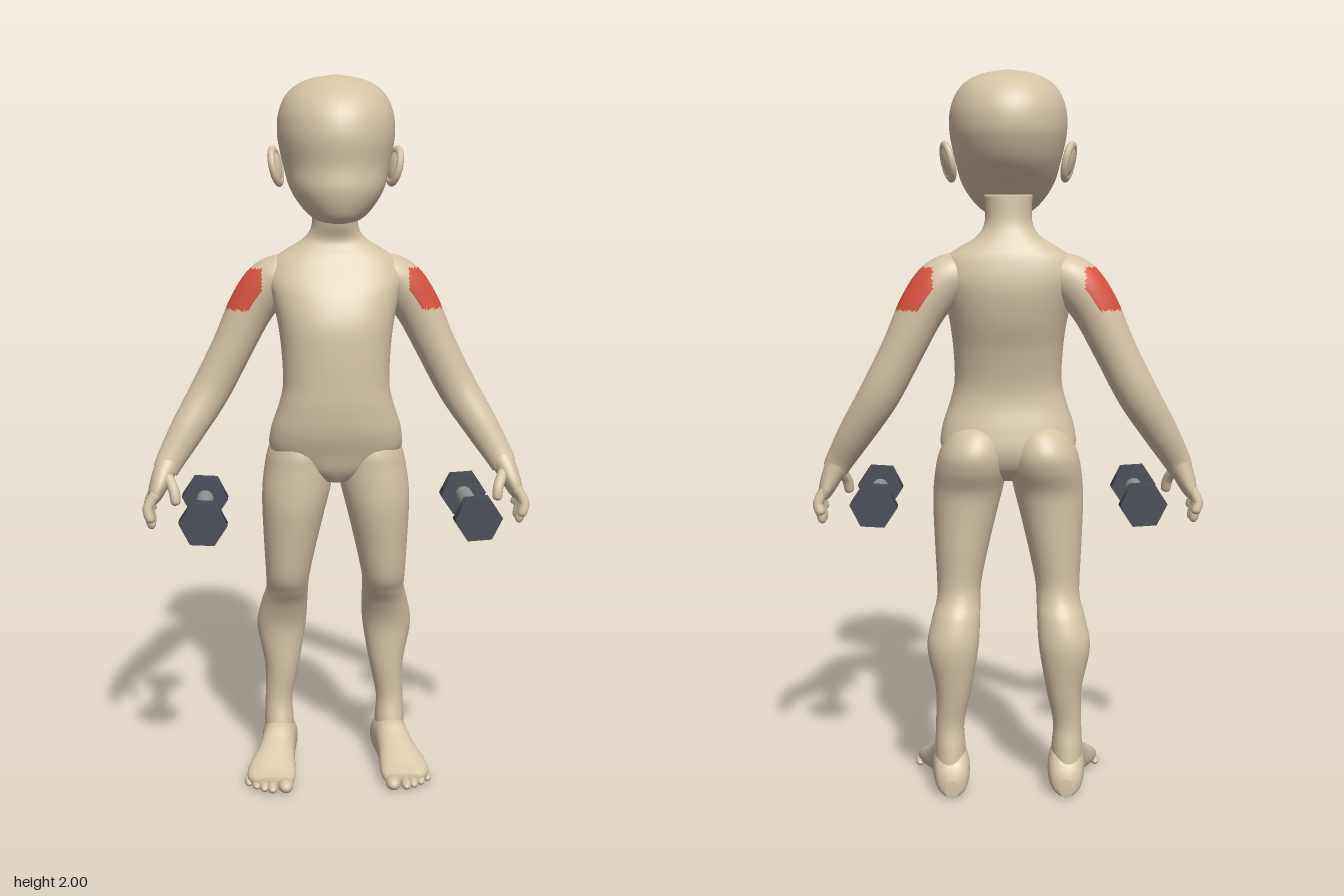
import * as THREE from 'three';

const V = (x, y, z) => new THREE.Vector3(x, y, z);
const mat = (name, color) => Object.assign(new THREE.MeshStandardMaterial({ color }), { name });

// Catmull-Rom through rows of numbers
function smooth(rows, steps) {
  const out = [], at = i => rows[Math.min(rows.length - 1, Math.max(0, i))];
  for (let i = 0; i < rows.length - 1; i++)
    for (let k = 0; k < steps; k++) {
      const t = k / steps;
      out.push(at(i).map((b, n) => {
        const a = at(i - 1)[n], c = at(i + 1)[n], d = at(i + 2)[n];
        return 0.5 * (2 * b + (c - a) * t + (2 * a - 5 * b + 4 * c - d) * t * t + (3 * b - a - 3 * c + d) * t ** 3);
      }));
    }
  out.push(rows[rows.length - 1]);
  return out;
}

// Closed skin over rings {c, u, v}, where u x v points along the loft; p < 1 squares the rings
function loft(rings, seg = 32, p = 1) {
  const pos = [], idx = [], n = rings.length;
  const bend = a => Math.sign(a) * Math.abs(a) ** p;
  for (const { c, u, v } of rings)
    for (let j = 0; j < seg; j++) {
      const a = (j / seg) * Math.PI * 2;
      pos.push(...c.clone().addScaledVector(u, bend(Math.cos(a))).addScaledVector(v, bend(Math.sin(a))).toArray());
    }
  pos.push(...rings[0].c.toArray(), ...rings[n - 1].c.toArray());
  for (let i = 0; i < n; i++)
    for (let j = 0; j < seg; j++) {
      const k = (j + 1) % seg, a = i * seg + j, b = i * seg + k;
      if (i === 0) idx.push(n * seg, b, a);
      if (i === n - 1) idx.push(n * seg + 1, a, b);
      else idx.push(a, b, b + seg, a, b + seg, a + seg);
    }
  const g = new THREE.BufferGeometry();
  g.setAttribute('position', new THREE.Float32BufferAttribute(pos, 3));
  g.setIndex(idx);
  g.computeVertexNormals();
  return g;
}

// Upright loft, rows [centre x, y, half width, front z, back z], bottom to top
const upright = (rows, p) => loft(smooth(rows, 6).map(([x, y, w, f, b]) => ({
  c: V(x, y, (f + b) / 2), u: V(0, 0, (f - b) / 2), v: V(w, 0, 0) })), 40, p);

// Limb loft along a path, rows [x, y, z, half thickness across, half depth in z]
function limb(rows, steps = 6, seg = 40) {
  const d = smooth(rows, steps), at = i => V(...d[Math.min(d.length - 1, Math.max(0, i))].slice(0, 3));
  return loft(d.map((r, i) => {
    const t = at(i + 1).sub(at(i - 1)).normalize();
    const v = V(0, 0, 1).addScaledVector(t, -t.z).normalize();
    return { c: at(i), u: v.clone().cross(t).multiplyScalar(r[3]), v: v.multiplyScalar(r[4]) };
  }), seg);
}

const finger = (a, b, c, r) => limb([[...a, r, r], [...b, r, r], [...c, r * 0.9, r * 0.9],
  [...c.map((e, i) => e + (e - b[i]) * 0.25), r * 0.3, r * 0.3]], 4, 12);

const ball = (x, y, z, rx, ry, rz) => new THREE.SphereGeometry(1, 24, 16).scale(rx, ry, rz).translate(x, y, z);

function mirrored(g) {
  const m = g.clone().scale(-1, 1, 1), ix = m.index.array;
  for (let i = 0; i < ix.length; i += 3) [ix[i], ix[i + 1]] = [ix[i + 1], ix[i]];
  return m;
}

// Splits faces into two material groups by a test on the face centre
function paint(g, test) {
  const P = g.attributes.position, ix = g.index.array, sets = [[], []];
  for (let i = 0; i < ix.length; i += 3) {
    const f = [ix[i], ix[i + 1], ix[i + 2]], c = V(0, 0, 0), q = V(0, 0, 0);
    f.forEach(k => c.addScaledVector(q.fromBufferAttribute(P, k), 1 / 3));
    sets[test(c) ? 1 : 0].push(...f);
  }
  g.setIndex([...sets[0], ...sets[1]]);
  g.addGroup(0, sets[0].length, 0);
  g.addGroup(sets[0].length, sets[1].length, 1);
  return g;
}

export function createModel() {
  const skin = mat('skin', 0xd6c3a5), red = mat('red patch', 0xd9533f);
  const iron = mat('dark iron', 0x4a4e57), steel = mat('grey steel', 0x8c9691);
  const model = new THREE.Group();
  model.name = 'figure';
  const add = (name, g, m = skin) => {
    const mesh = new THREE.Mesh(g, m);
    mesh.name = name;
    model.add(mesh);
  };
  const pair = (name, g, m) => {
    add('left ' + name, g, m);
    add('right ' + name, mirrored(g), m);
  };

  // Head
  add('head', upright([
    [0, 1.61, 0.02, 0.095, 0.03], [0, 1.62, 0.06, 0.13, -0.02], [0, 1.65, 0.095, 0.15, -0.08],
    [0, 1.7, 0.127, 0.162, -0.13], [0, 1.76, 0.144, 0.158, -0.183], [0, 1.82, 0.157, 0.164, -0.212],
    [0, 1.86, 0.16, 0.161, -0.218], [0, 1.9, 0.156, 0.148, -0.212], [0, 1.94, 0.14, 0.12, -0.19],
    [0, 1.97, 0.112, 0.082, -0.155], [0, 1.99, 0.068, 0.035, -0.105], [0, 2, 0.01, -0.025, -0.045]]));

  // Ears: a shallow lobe with a raised rim
  const tilt = g => g.rotateY(0.35).rotateZ(-0.18).rotateX(-0.15).translate(0.163, 1.757, -0.05);
  pair('ear', tilt(ball(0, 0, 0, 0.014, 0.045, 0.032)));
  pair('ear rim', tilt(new THREE.TorusGeometry(0.034, 0.01, 10, 28).rotateY(Math.PI / 2).scale(1, 1.3, 0.95)));

  // Torso and neck
  add('torso', upright([
    [0, 0.885, 0.04, 0.03, -0.08], [0, 0.92, 0.12, 0.052, -0.125], [0, 0.97, 0.183, 0.068, -0.145],
    [0, 1.03, 0.184, 0.087, -0.138], [0, 1.1, 0.162, 0.096, -0.122], [0, 1.16, 0.149, 0.097, -0.122],
    [0, 1.25, 0.152, 0.095, -0.142], [0, 1.33, 0.162, 0.088, -0.168], [0, 1.4, 0.178, 0.063, -0.182],
    [0, 1.45, 0.19, 0.034, -0.182], [0, 1.5, 0.172, 0.002, -0.172], [0, 1.53, 0.132, -0.012, -0.16],
    [0, 1.56, 0.085, -0.02, -0.147], [0, 1.6, 0.064, -0.006, -0.134], [0, 1.67, 0.066, 0.01, -0.13]], 0.88));

  // Legs, with the seat and calves in their profile
  pair('leg', upright([
    [0.165, 0.05, 0.044, -0.03, -0.17], [0.165, 0.13, 0.043, -0.045, -0.16], [0.165, 0.2, 0.04, -0.063, -0.15],
    [0.155, 0.3, 0.05, -0.058, -0.165], [0.156, 0.42, 0.071, -0.055, -0.18], [0.147, 0.5, 0.067, -0.027, -0.163],
    [0.14, 0.55, 0.061, 0.005, -0.137], [0.138, 0.6, 0.063, 0.032, -0.126], [0.13, 0.7, 0.076, 0.05, -0.13],
    [0.12, 0.8, 0.09, 0.064, -0.134], [0.112, 0.86, 0.097, 0.065, -0.142], [0.103, 0.92, 0.099, 0.062, -0.17],
    [0.098, 0.97, 0.092, 0.058, -0.178], [0.092, 1.02, 0.07, 0.035, -0.15], [0.09, 1.05, 0.03, 0, -0.1]]));

  // Feet, rows [z, centre x, half width, top y]
  pair('foot', loft(smooth([
    [-0.183, 0.16, 0.018, 0.05], [-0.165, 0.16, 0.042, 0.09], [-0.12, 0.162, 0.052, 0.13],
    [-0.05, 0.168, 0.05, 0.135], [0, 0.178, 0.055, 0.106], [0.05, 0.19, 0.067, 0.076],
    [0.09, 0.193, 0.068, 0.052], [0.12, 0.185, 0.05, 0.038]], 5).map(([z, x, w, h]) => ({
    c: V(x, h / 2 + 0.002, z), u: V(w, 0, 0), v: V(0, h / 2, 0) })), 32, 0.85));
  for (let i = 0; i < 5; i++) {
    const r = i ? 0.0155 - i * 0.0007 : 0.021;
    pair('toe ' + (i + 1), ball(i ? 0.17 + i * 0.022 : 0.154, r * 0.9 + 0.002, 0.134 - i * i * 0.0035, r, r * 0.9, 0.031 - i * 0.001));
  }

  // Arms with a red patch on the outer upper side
  const arm = limb([
    [0.1, 1.47, -0.088, 0.045, 0.05], [0.145, 1.455, -0.09, 0.062, 0.066], [0.19, 1.425, -0.096, 0.068, 0.068],
    [0.237, 1.36, -0.1, 0.064, 0.064], [0.288, 1.255, -0.1, 0.058, 0.059], [0.353, 1.13, -0.093, 0.056, 0.053],
    [0.418, 1.025, -0.062, 0.049, 0.046], [0.466, 0.945, -0.034, 0.04, 0.035], [0.482, 0.915, -0.025, 0.036, 0.036]], 10, 64);
  const onPatch = c => c.y > 1.363 && c.y < 1.477 && c.x > 0.205 &&
    (c.x - 0.237) * 0.82 + (c.y - 1.36) * 0.57 > 0.008;
  pair('arm', paint(arm, onPatch), [skin, red]);

  // Hands
  pair('palm', limb([
    [0.462, 0.952, -0.036, 0.034, 0.03], [0.483, 0.915, -0.024, 0.032, 0.042], [0.503, 0.87, -0.012, 0.026, 0.058],
    [0.515, 0.838, -0.01, 0.018, 0.056], [0.519, 0.825, -0.01, 0.008, 0.04]], 5, 24));
  [[0.035, 0.05, 0.79], [0.007, 0.012, 0.768], [-0.023, -0.028, 0.77], [-0.051, -0.066, 0.795]].forEach(([z0, z1, y], i) =>
    pair('finger ' + (i + 1), finger([0.508, 0.86, z0], [0.53, 0.822, (z0 + z1) / 2], [0.523, y, z1], 0.0145)));
  pair('thumb', finger([0.475, 0.905, 0.005], [0.457, 0.87, 0.035], [0.452, 0.838, 0.045], 0.015));

  // Dumbbells: round bar with a six-sided weight at each end
  const along = (r, len, sides, z) => new THREE.CylinderGeometry(r, r, len, sides)
    .rotateX(Math.PI / 2).rotateZ(Math.PI / 2 + 0.06).translate(0.373, 0.82, z);
  pair('dumbbell bar', along(0.024, 0.27, 24, 0.055), steel);
  pair('dumbbell front weight', along(0.066, 0.044, 6, 0.197), iron);
  pair('dumbbell rear weight', along(0.066, 0.044, 6, -0.088), iron);

  return model;
}
